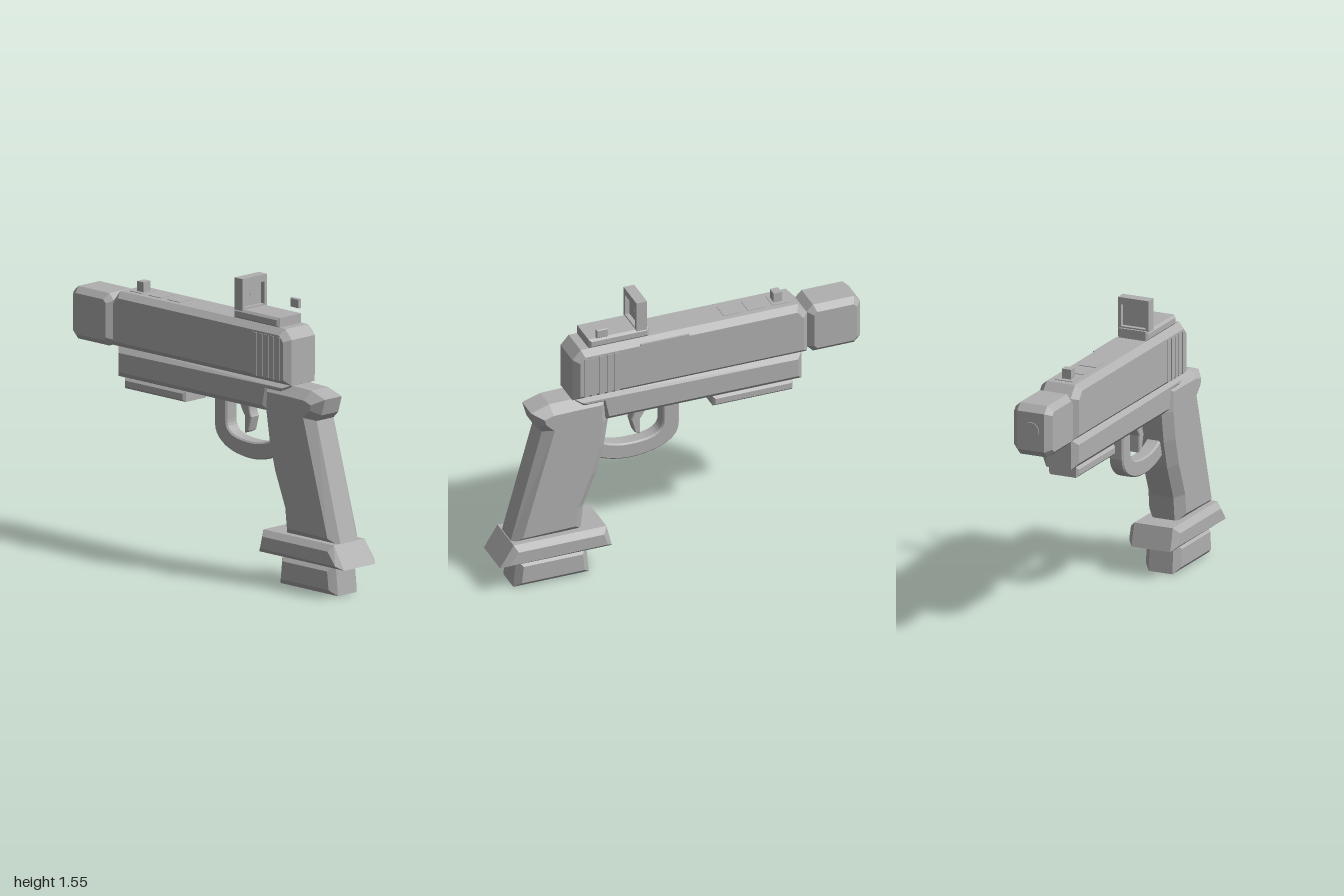
import * as THREE from 'three';

const grey = new THREE.MeshStandardMaterial({ color: 0xb0b0b0 });
grey.name = 'plain grey';

function part(group, name, geometry) {
  const mesh = new THREE.Mesh(geometry, grey);
  mesh.name = name;
  group.add(mesh);
  return mesh;
}

// Side profile in (z, y), spread over x = -halfWidth..halfWidth with chamfered rims
function slab(profile, halfWidth, bevelX = 0, bevelIn = bevelX) {
  const shape = profile instanceof THREE.Shape
    ? profile
    : new THREE.Shape(profile.map(([z, y]) => new THREE.Vector2(z, y)));
  const depth = 2 * (halfWidth - bevelX);
  const geometry = new THREE.ExtrudeGeometry(shape, {
    depth, curveSegments: 10, bevelEnabled: bevelX > 0, bevelSegments: 1,
    bevelThickness: bevelX, bevelSize: bevelIn, bevelOffset: -bevelIn,
  });
  return geometry.translate(0, 0, -depth / 2).rotateY(-Math.PI / 2);
}

// Box given by its limits
function block(x0, x1, y0, y1, z0, z1) {
  return new THREE.BoxGeometry(x1 - x0, y1 - y0, z1 - z0)
    .translate((x0 + x1) / 2, (y0 + y1) / 2, (z0 + z1) / 2);
}

const rect = (z0, z1, y0, y1) => [[z0, y0], [z1, y0], [z1, y1], [z0, y1]];

export function createModel() {
  const model = new THREE.Group();
  model.name = 'pistol';

  // Upper body
  part(model, 'slide', slab([
    [0.59, 1.05], [0.59, 1.29], [0.545, 1.34], [-0.65, 1.34], [-0.70, 1.28], [-0.70, 1.05],
  ], 0.115, 0.034, 0.03));
  part(model, 'frame', slab([
    [0.58, 1.05], [-0.675, 1.05], [-0.675, 0.89], [0.42, 0.89], [0.44, 0.99], [0.53, 0.99],
  ], 0.1, 0.03));
  part(model, 'compensator', slab([
    [-0.70, 1.075], [-0.70, 1.28], [-0.735, 1.315], [-0.96, 1.315],
    [-0.995, 1.28], [-0.995, 1.075], [-0.96, 1.04], [-0.735, 1.04],
  ], 0.109, 0.032, 0.03));
  const muzzle = part(model, 'muzzle', new THREE.CylinderGeometry(0.048, 0.048, 0.01, 20));
  muzzle.rotation.x = Math.PI / 2;
  muzzle.position.set(0, 1.18, -0.995);

  // Grip and magazine
  part(model, 'grip', slab([
    [0.925, 0.26], [0.75, 0.89], [0.785, 0.925], [0.81, 1.01], [0.71, 1.042], [0.58, 1.045],
    [0.39, 1.045], [0.385, 0.89], [0.41, 0.73], [0.45, 0.58], [0.522, 0.4], [0.537, 0.26],
  ], 0.105, 0.045, 0.047));
  part(model, 'gripFlare', slab([
    [1.0, 0.155], [0.925, 0.275], [0.415, 0.275], [0.385, 0.155],
  ], 0.14, 0.03));
  part(model, 'magazine', slab([
    [0.91, 0], [0.895, 0.16], [0.51, 0.16], [0.495, 0],
  ], 0.1, 0.033));

  // Trigger and its guard
  const guard = new THREE.Shape();
  guard.moveTo(-0.015, 0.90);
  guard.lineTo(-0.015, 0.75);
  guard.bezierCurveTo(-0.015, 0.65, 0.12, 0.605, 0.25, 0.605);
  guard.quadraticCurveTo(0.36, 0.605, 0.46, 0.66);
  guard.lineTo(0.42, 0.74);
  guard.quadraticCurveTo(0.35, 0.695, 0.25, 0.695);
  guard.bezierCurveTo(0.13, 0.695, 0.075, 0.72, 0.075, 0.78);
  guard.lineTo(0.075, 0.90);
  part(model, 'triggerGuard', slab(guard, 0.04, 0.008));
  const trigger = new THREE.Shape();
  trigger.moveTo(0.155, 0.90);
  trigger.quadraticCurveTo(0.165, 0.86, 0.195, 0.82);
  trigger.lineTo(0.195, 0.73);
  trigger.lineTo(0.225, 0.745);
  trigger.lineTo(0.245, 0.82);
  trigger.quadraticCurveTo(0.225, 0.86, 0.235, 0.90);
  part(model, 'trigger', slab(trigger, 0.03, 0.005));

  part(model, 'underRail', slab(rect(-0.625, -0.185, 0.835, 0.89), 0.085, 0.012));

  // Rear grip ridges and side port
  for (const side of [-1, 1]) {
    for (let i = 0; i < 5; i++) {
      const ridge = part(model, 'slideRidge', block(-0.004, 0.004, 1.075, 1.3, -0.014, 0.014));
      ridge.position.set(side * 0.115, 0, 0.525 - i * 0.042);
    }
  }
  part(model, 'ejectionPort', block(0.108, 0.118, 1.2, 1.32, -0.04, 0.23));

  // Front sight and top vents
  part(model, 'frontSight', block(-0.026, 0.026, 1.34, 1.395, -0.585, -0.54));
  [-0.57, -0.435, -0.3].forEach((z) => {
    part(model, 'topVent', block(-0.049, 0.049, 1.336, 1.343, z - 0.045, z + 0.045));
  });

  // Reflex sight: base, window frame, pane and side knob
  part(model, 'opticBase', slab(rect(0.17, 0.50, 1.338, 1.39), 0.088, 0.012));
  const rim = new THREE.Shape([
    [-0.088, 1.385], [0.088, 1.385], [0.088, 1.552], [-0.088, 1.552],
  ].map(([x, y]) => new THREE.Vector2(x, y)));
  rim.holes.push(new THREE.Path([
    [-0.07, 1.398], [-0.07, 1.515], [0.07, 1.515], [0.07, 1.398],
  ].map(([x, y]) => new THREE.Vector2(x, y))));
  part(model, 'opticFrame', new THREE.ExtrudeGeometry(rim, { depth: 0.058, bevelEnabled: false })
    .translate(0, 0, 0.182));
  part(model, 'opticPane', block(-0.071, 0.071, 1.397, 1.516, 0.207, 0.215));
  part(model, 'opticDot', block(-0.004, 0.004, 1.452, 1.46, 0.214, 0.218));
  part(model, 'opticKnob', slab(rect(0.405, 0.468, 1.407, 1.455), 0.011, 0.004))
    .position.x = 0.1;

  return model;
}
